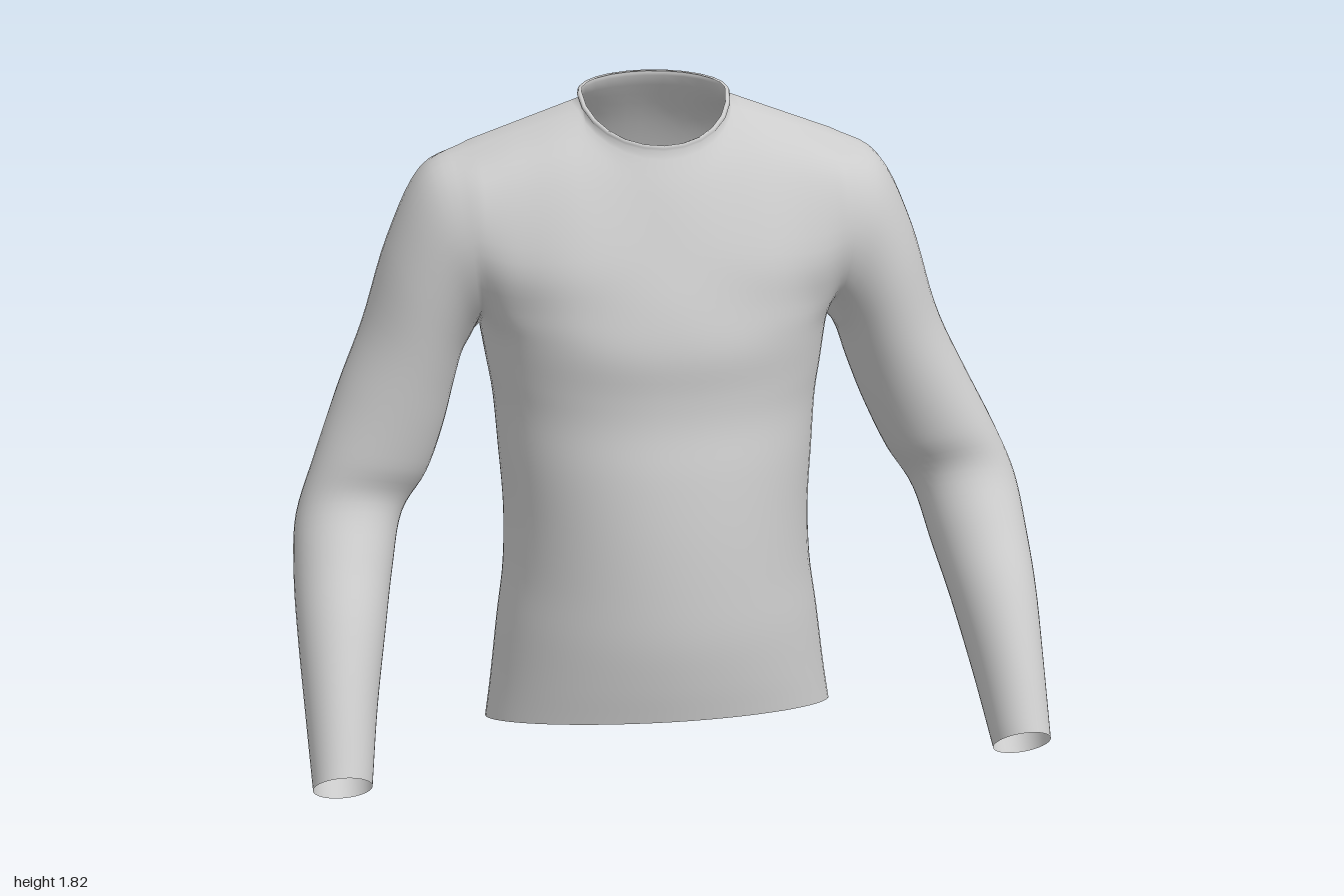
import * as THREE from 'three';
import { mergeVertices } from 'three/addons/utils/BufferGeometryUtils.js';

const V = (x, y, z) => new THREE.Vector3(x, y, z);
const M = 36;        // columns across the front or the back
const SUB = 5;       // steps between key rows
const SHIFT = -0.02; // the body sits slightly to its right
const spline = (pts) => new THREE.CatmullRomCurve3(pts, false, 'catmullrom', 0.5);

// Lower torso sections: front height, back height, half width, front z, back z
const BODY = [
  [0.20, 0.005, 0.472, 0.330, -0.392],
  [0.30, 0.150, 0.455, 0.345, -0.345],
  [0.42, 0.360, 0.435, 0.355, -0.270],
  [0.55, 0.520, 0.415, 0.350, -0.240],
  [0.70, 0.680, 0.410, 0.335, -0.255],
  [0.85, 0.850, 0.420, 0.310, -0.285],
  [0.97, 1.000, 0.430, 0.282, -0.330],
  [1.06, 1.100, 0.445, 0.274, -0.365],
  [1.17, 1.190, 0.460, 0.275, -0.390],
];
const ARMPIT = BODY.length - 1;

// Chest and upper back rows: points from the armhole edge to the centre line
const CHEST = [
  [[0.47, 1.27, 0.05], [0.40, 1.26, 0.125], [0.25, 1.27, 0.215], [0, 1.28, 0.25]],
  [[0.48, 1.42, 0.11], [0.38, 1.40, 0.15], [0.23, 1.41, 0.19], [0, 1.42, 0.197]],
  [[0.48, 1.59, 0.05], [0.36, 1.61, 0.06], [0.22, 1.62, 0.08], [0, 1.56, 0.14]],
];
const BACK = [
  [[0.47, 1.28, -0.30], [0.40, 1.29, -0.345], [0.25, 1.31, -0.400], [0, 1.31, -0.40]],
  [[0.48, 1.44, -0.35], [0.38, 1.45, -0.372], [0.24, 1.47, -0.395], [0, 1.47, -0.387]],
  [[0.48, 1.60, -0.28], [0.36, 1.64, -0.285], [0.22, 1.67, -0.295], [0, 1.66, -0.312]],
];

// Sleeve rings: inner x, y, outer x, y, centre z, and the half depth as y, z
const SLEEVE = [
  [0.490, 1.150, 0.605, 1.600, -0.125, 0, 0.213],
  [0.510, 1.110, 0.698, 1.415, -0.126, 0, 0.195],
  [0.535, 1.030, 0.770, 1.190, -0.130, 0, 0.180],
  [0.575, 0.910, 0.845, 1.020, -0.118, 0.01, 0.157],
  [0.630, 0.785, 0.920, 0.850, -0.102, 0.035, 0.135],
  [0.700, 0.680, 0.980, 0.690, -0.090, 0.065, 0.120],
  [0.735, 0.550, 0.995, 0.550, -0.010, 0.075, 0.120],
  [0.765, 0.420, 0.995, 0.420, 0.100, 0.070, 0.110],
  [0.800, 0.250, 0.988, 0.250, 0.220, 0.075, 0.090],
  [0.827, 0.080, 0.980, 0.080, 0.340, 0.058, 0.070],
];

// Neck opening, low at the front and high at the back
function neckPoint(phi, grow = 0, rise = 0) {
  const s = Math.sin(phi);
  return V((0.195 + grow) * Math.cos(phi),
    1.78 + rise - (s > 0 ? 0.115 : 0.027) * s,
    -0.09 + ((s > 0 ? 0.175 : 0.13) + grow) * s);
}

// The belly is rounder and the upper back squarer
function bodyPoint(row, theta, side) {
  const [yf, yb, w, zf, zb] = BODY[row];
  const power = side > 0 ? 1.06 - 0.02 * row : 0.95 - 0.02 * row;
  const pow = (v) => Math.sign(v) * Math.abs(v) ** power;
  const zs = -0.03 - 0.011 * row;
  const z = zs + ((side > 0 ? zf : zb) - zs) * pow(Math.sin(theta));
  return V(w * pow(Math.cos(theta)), yb + (yf - yb) * (z - zb) / (zf - zb), z);
}

// Shoulder seam, then half of the neck opening, then the other seam
function topPoint(u, side) {
  if (u > 0.5) { const p = topPoint(1 - u, side); p.x *= -1; return p; }
  if (u >= 1 / 3 - 1e-9) return neckPoint(side * (u * 3 - 1) * Math.PI);
  return V(0.48, 1.67, -0.13).lerp(neckPoint(0), u * 3);
}

// Front or back of the torso as rows from hem to neck
function torsoRows(side) {
  const upper = (side > 0 ? CHEST : BACK).map((r) => spline([
    ...r.map((p) => V(...p)), ...r.slice(0, 3).reverse().map(([x, y, z]) => V(-x, y, z)),
  ]));
  const steps = (ARMPIT + 4) * SUB;
  const rows = Array.from({ length: steps + 1 }, () => []);
  for (let j = 0; j <= M; j++) {
    const u = j / M;
    const lower = BODY.map((_, i) => bodyPoint(i, Math.PI * u, side));
    const full = spline([...lower, ...upper.map((c) => c.getPoint(u)), topPoint(u, side)]);
    const seam = spline(lower);
    const edge = j === 0 || j === M;
    for (let i = 0; i <= steps; i++) {
      const below = edge && i <= ARMPIT * SUB;
      rows[i].push(below ? seam.getPoint(i / (ARMPIT * SUB)) : full.getPoint(i / steps));
    }
  }
  return rows;
}

// Left sleeve as rings from the armhole to the cuff
function sleeveRows(front, back) {
  const first = ARMPIT * SUB;
  const f = front.slice(first).map((r) => r[0]);
  const b = back.slice(first).map((r) => r[0]);
  const hole = [...f, ...b.slice(0, -1).reverse()];
  const steps = SLEEVE.length * SUB;
  const rows = Array.from({ length: steps + 1 }, () => []);
  hole.forEach((start, j) => {
    const a = (2 * Math.PI * j) / (hole.length - 1);
    const k = (1 - Math.cos(a)) / 2, s = Math.sin(a);
    const curve = spline([start, ...SLEEVE.map(([ix, iy, ox, oy, cz, by, bz]) =>
      V(ix + (ox - ix) * k, iy + (oy - iy) * k + by * s, cz + bz * s))]);
    for (let i = 0; i <= steps; i++) rows[i].push(curve.getPoint(i / steps));
  });
  return rows;
}

export function createModel() {
  const position = [];
  const ranges = [];

  // Adds a grid of quads; place maps each point to its final spot
  function addGrid(rows, flip, place) {
    for (let i = 0; i + 1 < rows.length; i++) {
      for (let j = 0; j + 1 < rows[i].length; j++) {
        const a = rows[i][j], b = rows[i][j + 1], c = rows[i + 1][j + 1], d = rows[i + 1][j];
        for (const p of flip ? [a, c, b, a, d, c] : [a, b, c, a, c, d]) {
          position.push(...place(p).toArray());
        }
      }
    }
  }
  function part(name, build) {
    const start = position.length / 3;
    build();
    ranges.push([name, start, position.length / 3]);
  }
  const shifted = (p) => V(p.x + SHIFT, p.y, p.z);

  const front = torsoRows(1), back = torsoRows(-1);
  part('torso', () => {
    addGrid(front, true, shifted);
    addGrid(back, false, shifted);
  });

  // Narrow raised band around the neck
  part('collar', () => {
    const band = [[0, 0], [0.005, 0.007], [0.001, 0.015], [-0.007, 0.013]];
    const n = (M * 2) / 3;
    addGrid(band.map(([g, r]) => Array.from({ length: n + 1 },
      (_, j) => neckPoint((2 * Math.PI * j) / n, g, r))), true, shifted);
  });

  // Sleeves, mirrored; the sideways shift fades out towards the elbow
  const sleeve = sleeveRows(front, back);
  for (const side of [1, -1]) {
    part(side > 0 ? 'leftSleeve' : 'rightSleeve', () => {
      addGrid(sleeve, side > 0, (p) =>
        V(side * p.x + SHIFT * THREE.MathUtils.smoothstep(p.y, 0.7, 1.15), p.y, p.z));
    });
  }

  // Weld everything so shading runs smoothly across the seams
  const raw = new THREE.BufferGeometry();
  raw.setAttribute('position', new THREE.Float32BufferAttribute(position, 3));
  const welded = mergeVertices(raw, 1e-4);
  welded.computeVertexNormals();

  const material = new THREE.MeshStandardMaterial({ color: 0xcccccc, side: THREE.DoubleSide });
  const group = new THREE.Group();
  group.name = 'longSleeveShirt';
  for (const [name, start, end] of ranges) {
    const geometry = new THREE.BufferGeometry();
    geometry.setAttribute('position', welded.getAttribute('position'));
    geometry.setAttribute('normal', welded.getAttribute('normal'));
    geometry.setIndex(Array.from(welded.index.array.slice(start, end)));
    const mesh = new THREE.Mesh(geometry, material);
    mesh.name = name;
    group.add(mesh);
  }
  return group;
}
